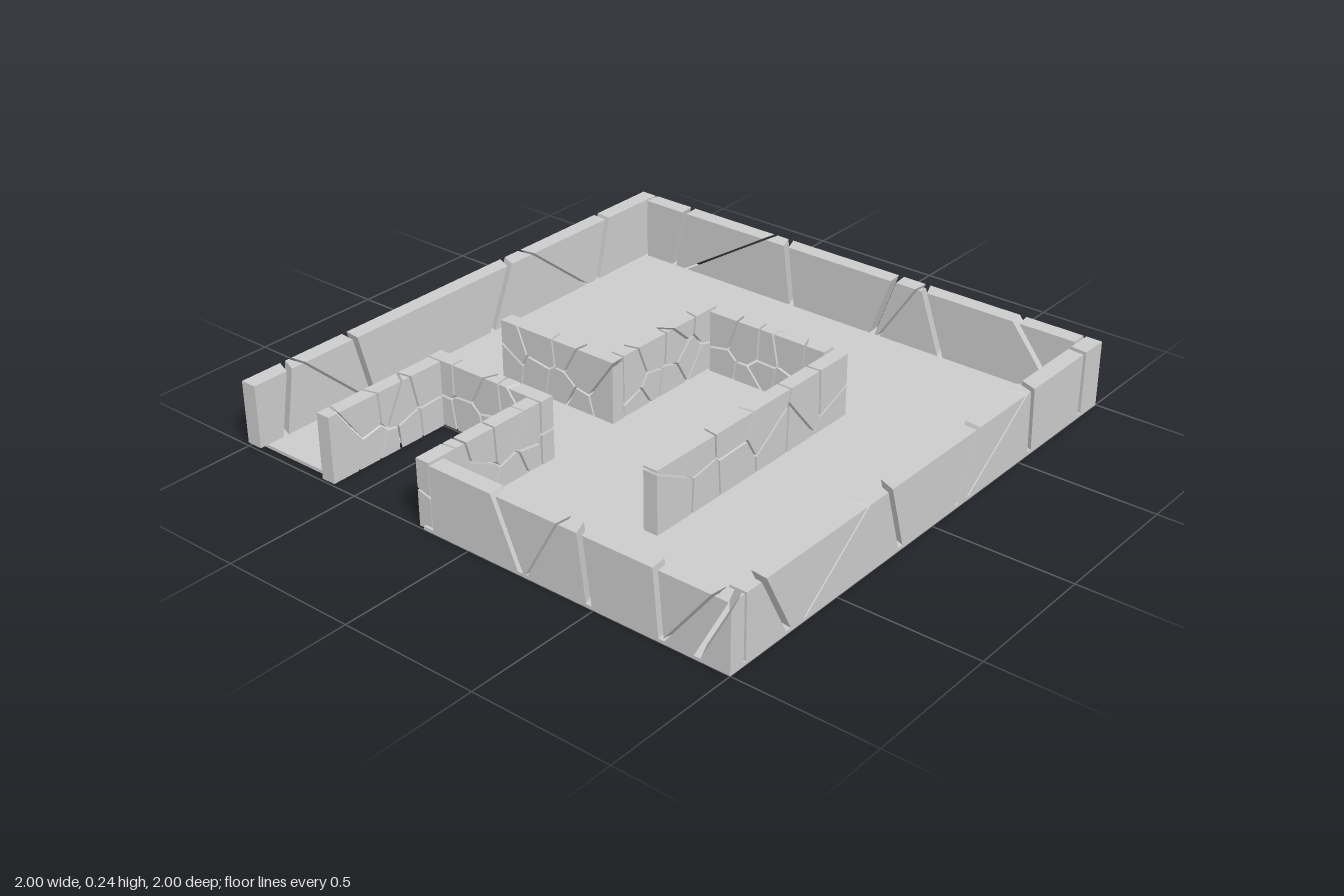
import * as THREE from 'three';
import { ConvexGeometry } from 'three/addons/geometries/ConvexGeometry.js';

const FLOOR = 0.012, TOP = 0.24;
const material = new THREE.MeshStandardMaterial({ color: 0xcccccc, flatShading: true });

function seeded(seed) {
  return () => {
    seed = (seed * 16807) % 2147483647;
    return seed / 2147483647;
  };
}

// Plane as { n, d }: the kept side is n.p <= d
const plane = (x, y, z, d) => ({ n: new THREE.Vector3(x, y, z), d });
const contains = (cell, p) => cell.every(q => q.n.dot(p) <= q.d + 1e-6);

// Corners of a convex stone: every meeting point of three planes that lies inside the rest
function corners(cell) {
  const points = [];
  for (let i = 0; i < cell.length; i++)
    for (let j = i + 1; j < cell.length; j++)
      for (let k = j + 1; k < cell.length; k++) {
        const [a, b, c] = [cell[i], cell[j], cell[k]];
        const bc = b.n.clone().cross(c.n);
        const det = a.n.dot(bc);
        if (Math.abs(det) < 1e-5) continue;
        const p = bc.multiplyScalar(a.d)
          .addScaledVector(c.n.clone().cross(a.n), b.d)
          .addScaledVector(a.n.clone().cross(b.n), c.d)
          .divideScalar(det);
        if (contains(cell, p) && !points.some(q => q.distanceTo(p) < 1e-4)) points.push(p);
      }
  return points;
}

// Wall block in local axes: x along the wall, y up, z through its thickness
const block = (from, to, bottom, half) => [
  plane(1, 0, 0, to), plane(-1, 0, 0, -from), plane(0, 1, 0, TOP),
  plane(0, -1, 0, -bottom), plane(0, 0, 1, half), plane(0, 0, -1, half),
];

// Splits whichever stone holds the crack's midpoint; slant leans the cut through the thickness
function crack(cells, ua, ya, ub, yb, gap, slant) {
  const mid = new THREE.Vector3((ua + ub) / 2, (ya + yb) / 2, 0);
  const n = new THREE.Vector3(yb - ya, ua - ub, 0).normalize().setZ(slant).normalize();
  const d = n.dot(mid);
  return cells.flatMap(cell => !contains(cell, mid) ? [cell] : [
    [...cell, { n, d: d - gap / 2 }],
    [...cell, { n: n.clone().negate(), d: -d - gap / 2 }],
  ]);
}

// Large slabs: cuts are [place at top, place at bottom], every other slab also breaks diagonally
function splitIntoSlabs(base, cuts) {
  let cells = [base];
  cuts.forEach(([top, foot], i) => {
    cells = crack(cells, top, TOP, foot, FLOOR, 0.02, i % 2 ? 0.4 : 0.1);
  });
  for (let i = 0; i + 1 < cuts.length; i += 2) {
    const start = THREE.MathUtils.lerp(cuts[i][1], cuts[i + 1][1], 0.12);
    const end = THREE.MathUtils.lerp(cuts[i][0], cuts[i + 1][0], 0.75);
    cells = crack(cells, start, FLOOR, end, 0.22, 0.008, 0.1);
  }
  return cells;
}

// Shatters a block into irregular stones around scattered centres
function shatter(base, from, to, half, count, seed) {
  const rand = seeded(seed * 7919 + 17);
  for (let i = 0; i < 5; i++) rand();
  const step = (to - from) / Math.ceil(count / 2);
  const sites = Array.from({ length: count }, (_, i) => new THREE.Vector3(
    from + step * (Math.floor(i / 2) + 0.1 + 0.8 * rand()),
    TOP * ((i % 2) * 0.5 + 0.05 + 0.4 * rand()),
    (rand() - 0.5) * half * 1.6));
  return sites.map(s => {
    const cell = [...base];
    for (const t of sites) {
      if (t === s) continue;
      const n = t.clone().sub(s).normalize();
      cell.push({ n, d: n.dot(s.clone().add(t).multiplyScalar(0.5)) - 0.004 });
    }
    return cell;
  });
}

// axis is the wall's running direction; at is its centre on the other axis
function buildWall(name, axis, at, cells) {
  const group = new THREE.Group();
  group.name = name;
  cells.forEach((cell, i) => {
    const points = corners(cell).map(p => axis === 'x'
      ? new THREE.Vector3(p.x, p.y, at + p.z)
      : new THREE.Vector3(at + p.z, p.y, p.x));
    if (points.length < 4) return;
    const stone = new THREE.Mesh(new ConvexGeometry(points), material);
    stone.name = `${name}Stone${i + 1}`;
    group.add(stone);
  });
  return group;
}

function outerWall(name, axis, at, from, to, cuts) {
  return buildWall(name, axis, at, splitIntoSlabs(block(from, to, FLOOR, 0.03), cuts));
}

function innerWall(name, axis, at, from, to, bottom, stones, seed) {
  const half = 0.027;
  return buildWall(name, axis, at,
    shatter(block(from, to, bottom, half), from, to, half, stones, seed));
}

// Thin floor with the entrance recess cut from its front edge
function buildFloor() {
  const outline = [[-1, -1], [1, -1], [1, 1], [-0.19, 1], [-0.19, 0.47],
    [-0.63, 0.47], [-0.63, 0.97], [-1, 0.97]];
  const shape = new THREE.Shape(outline.map(([x, z]) => new THREE.Vector2(x, -z)));
  const geometry = new THREE.ExtrudeGeometry(shape, { depth: FLOOR, bevelEnabled: false });
  geometry.rotateX(-Math.PI / 2);
  const floor = new THREE.Mesh(geometry, material);
  floor.name = 'floor';
  return floor;
}

export function createModel() {
  const model = new THREE.Group();
  model.name = 'ruinedMaze';
  model.add(buildFloor());

  // Outer walls of large slabs
  model.add(outerWall('rightOuterWall', 'z', -0.97, -1, 1,
    [[-0.72, -0.66], [-0.2, -0.1], [0.56, 0.5], [0.84, 0.88]]));
  model.add(outerWall('leftOuterWall', 'z', 0.97, -1, 0.93,
    [[0.85, 0.73], [0.23, 0.16], [-0.24, -0.14], [-0.57, -0.58], [-0.89, -0.89]]));
  model.add(outerWall('backOuterWall', 'x', -0.97, -0.93, 0.93,
    [[-0.75, -0.8], [-0.28, -0.25], [0.2, 0.12], [0.32, 0.4], [0.7, 0.88]]));
  model.add(outerWall('frontOuterWall', 'x', 0.97, -0.15, 1,
    [[0.11, 0.21], [0.44, 0.47], [0.73, 0.75], [0.99, 0.87]]));

  // Entrance recess walls, standing at the floor's cut edge
  model.add(innerWall('recessRightWall', 'z', -0.63, 0.5, 0.99, 0, 9, 3));
  model.add(innerWall('recessLeftWall', 'z', -0.19, 0.5, 0.99, 0, 10, 5));
  model.add(innerWall('recessBackWall', 'x', 0.467, -0.66, -0.16, 0, 10, 8));

  // Inner maze walls
  model.add(innerWall('passageWall', 'x', 0.125, -0.66, -0.16, FLOOR, 9, 11));
  model.add(innerWall('innerRightWall', 'z', -0.19, -0.4, 0.09, FLOOR, 10, 14));
  model.add(innerWall('innerBackWall', 'x', -0.375, -0.15, 0.33, FLOOR, 10, 19));
  model.add(innerWall('innerLeftWall', 'z', 0.37, -0.39, 0.59, FLOOR, 11, 23));
  return model;
}
